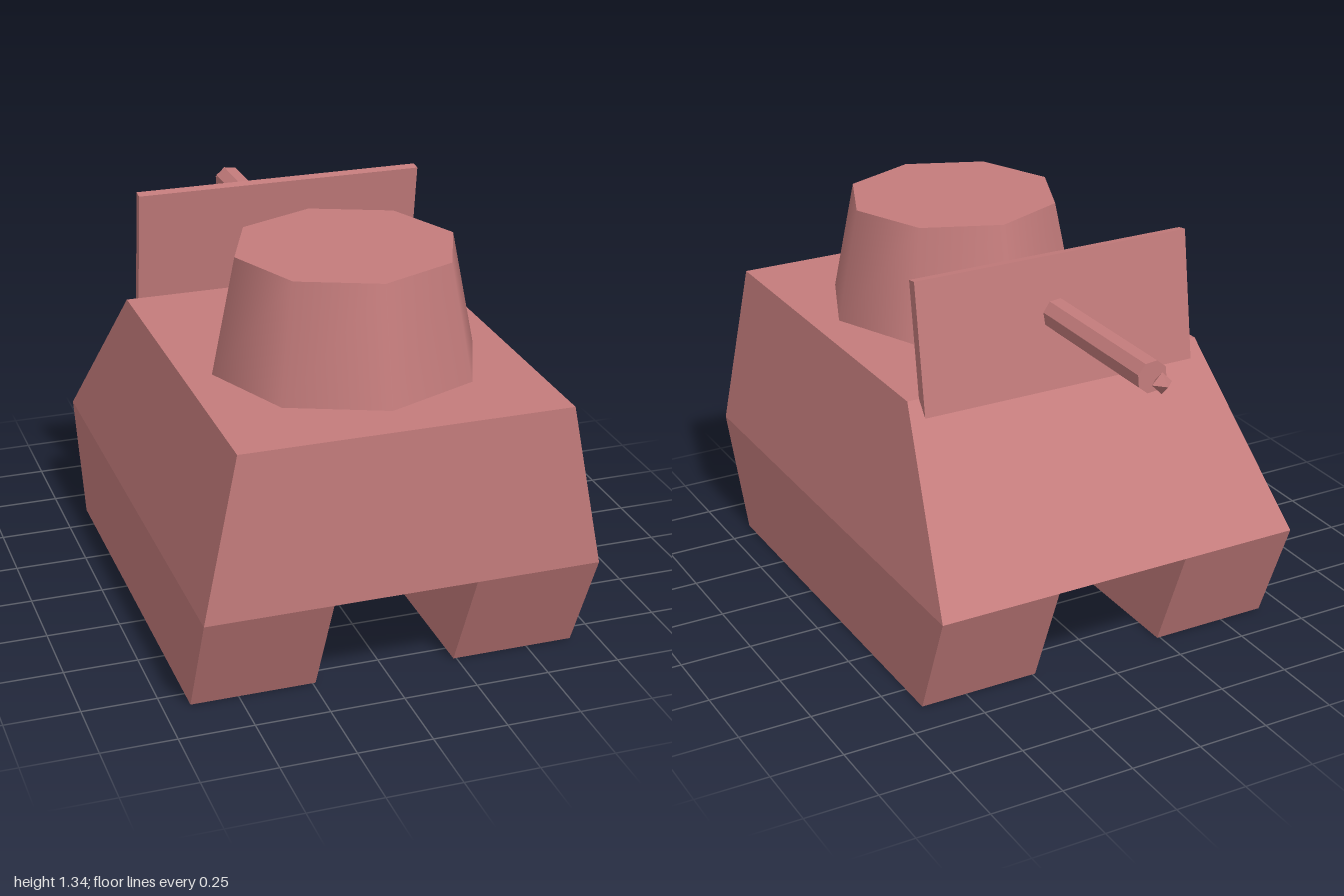
import * as THREE from 'three';

const paint = new THREE.MeshStandardMaterial({ color: 0xc47c7c });
const paintFlat = new THREE.MeshStandardMaterial({ color: 0xc47c7c, flatShading: true });

// Box whose bottom and top rectangles differ; each is [x0, x1, z0, z1]
function taperedBox(y0, y1, bottom, top) {
  const geometry = new THREE.BoxGeometry(1, 1, 1);
  const p = geometry.attributes.position;
  for (let i = 0; i < p.count; i++) {
    const up = p.getY(i) > 0;
    const r = up ? top : bottom;
    p.setXYZ(i, p.getX(i) > 0 ? r[1] : r[0], up ? y1 : y0, p.getZ(i) > 0 ? r[3] : r[2]);
  }
  geometry.computeVertexNormals();
  return geometry;
}

export function createModel() {
  const model = new THREE.Group();
  model.name = 'armouredVehicle';

  function add(name, geometry, material = paint, position = [0, 0, 0]) {
    const mesh = new THREE.Mesh(geometry, material);
    mesh.name = name;
    mesh.position.set(...position);
    model.add(mesh);
    return mesh;
  }

  // Hull with leaning sides and a sloped plate at the gun end
  add('hull', taperedBox(0.38, 0.943, [-0.66, 0.66, -0.775, 1], [-0.547, 0.547, -0.325, 1]));

  // Track blocks, narrowing lengthwise towards the ground
  for (const [name, x0, x1] of [['leftTrack', 0.24, 0.66], ['rightTrack', -0.66, -0.24]]) {
    add(name, taperedBox(0, 0.38, [x0, x1, -0.62, 0.82], [x0, x1, -0.775, 1]));
  }

  // Eight-sided turret
  add('turret', new THREE.CylinderGeometry(0.37, 0.45, 0.39, 8), paint, [0, 1.138, 0.4]);

  // Tilted gun shield
  const shield = add('gunShield', new THREE.BoxGeometry(1.01, 0.5, 0.035), paint, [0, 1.087, -0.322]);
  shield.rotation.x = 0.139;

  // Barrel and the small pointed round ahead of its muzzle
  const barrel = new THREE.CylinderGeometry(0.054, 0.054, 0.92, 8);
  barrel.rotateY(0.3).rotateX(Math.PI / 2);
  add('barrel', barrel, paintFlat, [0, 1.138, -0.45]);
  add('projectile', new THREE.OctahedronGeometry(0.036), paintFlat, [0, 1.138, -0.964]);

  return model;
}
